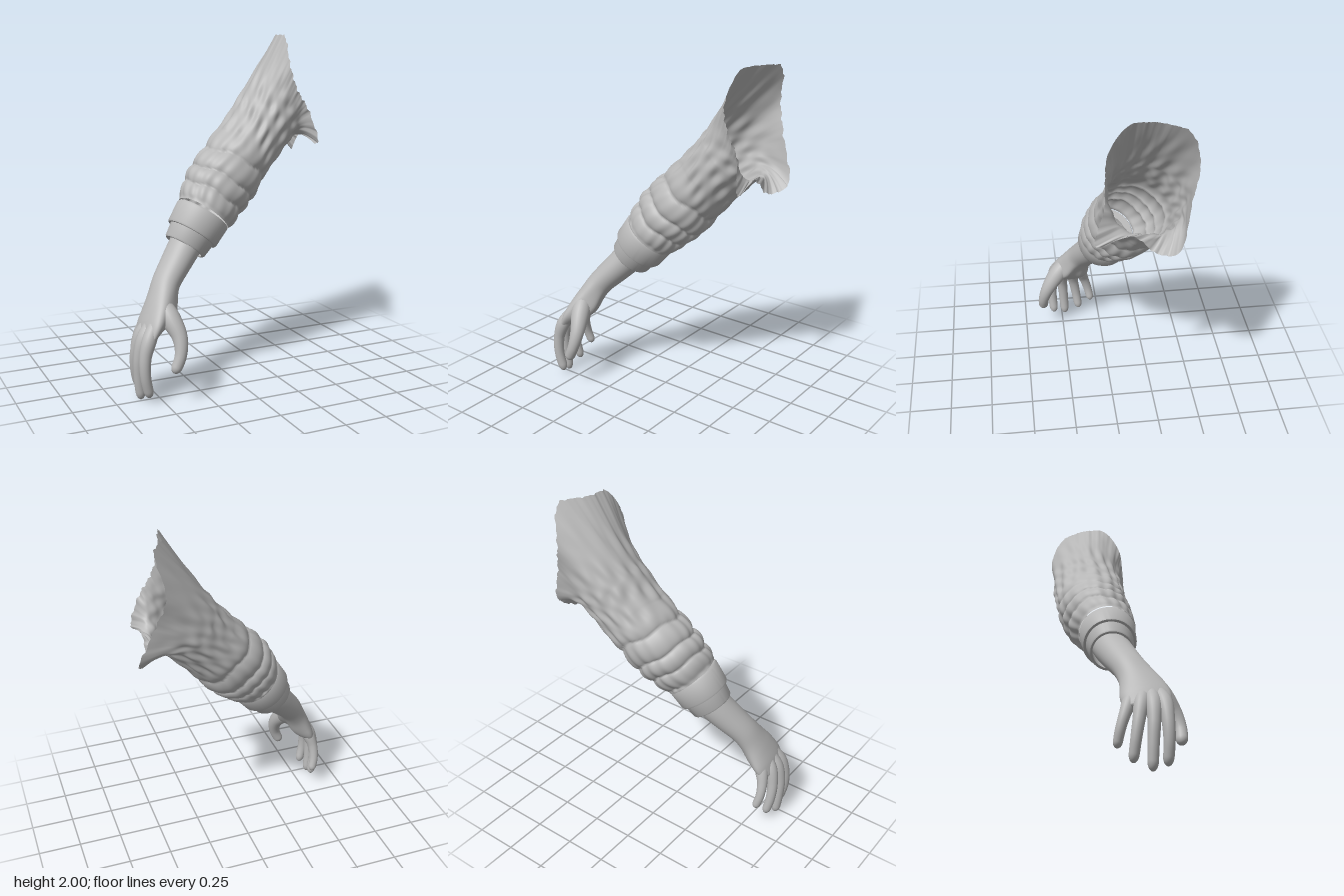
import * as THREE from 'three';
import { toCreasedNormals } from 'three/addons/utils/BufferGeometryUtils.js';

const V = (x, y, z) => new THREE.Vector3(x, y, z);
const TAU = Math.PI * 2;
const curve = (pts, closed = false) => new THREE.CatmullRomCurve3(pts.map(p => V(...p)), closed);

// Closed-around surface from point(u, angle), u running along the part
function skin(point, rows, sides) {
  const pos = [], idx = [];
  for (let i = 0; i <= rows; i++) {
    for (let j = 0; j < sides; j++) {
      pos.push(...point(i / rows, (j / sides) * TAU).toArray());
      if (i === rows) continue;
      const k = (j + 1) % sides, a = i * sides, b = a + sides;
      idx.push(a + j, a + k, b + j, a + k, b + k, b + j);
    }
  }
  const g = new THREE.BufferGeometry();
  g.setAttribute('position', new THREE.Float32BufferAttribute(pos, 3));
  g.setIndex(idx);
  g.computeVertexNormals();
  return g;
}

// Point on an oval ring: a across the bend plane, b along the z-leaning side
function ring(c, dir, a, b, t) {
  const d = dir.clone().normalize();
  const w = V(0, 0, 1).addScaledVector(d, -d.z).normalize();
  const n = w.clone().cross(d);
  return c.clone().addScaledVector(n, a * Math.cos(t)).addScaledVector(w, b * Math.sin(t));
}

// Tapered limb with a rounded end; rows [x, y, z, a, b], swell(u, angle) thickens a
function limb(rows, cap, sides, swell = () => 0) {
  const path = curve(rows.map(r => r.slice(0, 3)));
  const size = curve(rows.map(r => [r[3], r[4], 0]));
  return skin((k, t) => {
    const u = 1 - (1 - k) ** 2;
    const s = size.getPoint(u);
    const e = Math.max(0, (u - 1 + cap) / cap);
    const f = Math.sqrt(Math.max(0, 1 - e * e));
    return ring(path.getPoint(u), path.getTangent(u), (s.x + swell(u, t)) * f, s.y * f, t);
  }, 48, sides);
}

// Sleeve: oval sections up to the shoulder, then a ragged open rim
function sleeveGeometry() {
  const path = curve([[-0.115, 0.97, -0.01], [-0.035, 1.07, -0.052], [0.045, 1.155, -0.083],
    [0.155, 1.28, -0.115], [0.26, 1.395, -0.135], [0.335, 1.48, -0.15]]);
  const size = curve([[0.166, 0.164, 0], [0.196, 0.192, 0], [0.205, 0.203, 0],
    [0.195, 0.208, 0], [0.19, 0.21, 0], [0.197, 0.214, 0]]);
  const rim = curve([[0.45, 2, -0.19], [0.44, 1.99, -0.06], [0.42, 1.82, 0.05], [0.46, 1.68, 0.07],
    [0.525, 1.57, 0.08], [0.57, 1.37, 0.13], [0.555, 1.41, -0.06], [0.57, 1.3, -0.19],
    [0.635, 1.34, -0.29], [0.55, 1.6, -0.365], [0.5, 1.77, -0.405], [0.535, 1.985, -0.335]], true);
  const axis = V(0.65, 0.76, -0.2).normalize();
  const folds = (s, t) => {
    const low = 1 - THREE.MathUtils.smoothstep(s, 0.5, 0.75);
    const start = THREE.MathUtils.smoothstep(s, 0, 0.04);
    const wander = 0.12 * Math.sin(t + 0.5) + 0.18 * Math.sin(t * 2 + 1) * s + 0.07 * Math.sin(t * 5);
    const puff = Math.abs(Math.sin(Math.PI * (s * 5.6 + wander))) ** 0.6 - 0.72;
    const pleat = Math.sin(t * 17 + 1.5 * Math.sin(s * 8)) * (0.6 + 0.4 * Math.sin(t * 3));
    const knit = Math.sin(t * 15 + 1.3 * Math.sin(s * 5 + t * 2)) * (0.65 + 0.35 * Math.sin(s * 26 + t * 5));
    return start * (low * (0.021 * puff + 0.004 * pleat) + (1 - low) * 0.009 * knit);
  };
  return skin((u, t) => {
    const split = 0.68, s = Math.min(1, u / split);
    const r = size.getPoint(s), f = folds(u / split, t);
    const p = ring(path.getPoint(s), axis, r.x + f, r.y + f, t);
    if (u <= split) return p;
    const q = (u - split) / (1 - split);
    const end = rim.getPoint((t / TAU) % 1);
    end.addScaledVector(axis, 0.009 * Math.sin(t * 37) * Math.sin(t * 11));
    end.y = Math.min(end.y, 2);
    const mid = p.clone().addScaledVector(axis, 0.1);
    return p.multiplyScalar((1 - q) ** 2).addScaledVector(mid, 2 * q * (1 - q)).addScaledVector(end, q * q);
  }, 130, 160);
}

// Cuff band from a profile of [distance along, radius]
function band(profile) {
  const top = V(-0.115, 0.973, -0.01), dir = V(-0.132, -0.178, 0.03).normalize();
  const last = profile.length - 1;
  const g = skin((u, t) => {
    const [d, r] = profile[Math.round(u * last)];
    return ring(top.clone().addScaledVector(dir, d), dir, r, r * 0.96, t);
  }, last, 64);
  return toCreasedNormals(g, 0.7);
}

// Soft pads on the inner side of the palm, below the thumb and the little finger
function palmPads(u, t) {
  const bump = (x, centre, width) => Math.exp(-(((x - centre) / width) ** 2));
  const inner = Math.max(0, Math.cos(t)) ** 0.5, side = Math.sin(t);
  return inner * (0.062 * bump(u, 0.6, 0.15) * bump(side, 0.62, 0.45)
    + 0.035 * bump(u, 0.64, 0.16) * bump(side, -0.7, 0.45));
}

export function createModel() {
  const model = new THREE.Group();
  model.name = 'sleevedArm';
  const grey = new THREE.MeshStandardMaterial({ color: 0xb8b8b8, side: THREE.DoubleSide });
  grey.name = 'plain grey';
  const add = (name, geometry, parent = model) => {
    const mesh = new THREE.Mesh(geometry, grey);
    mesh.name = name;
    parent.add(mesh);
  };

  add('sleeve', sleeveGeometry());
  add('outerCuff', band([[0, 0.12], [0, 0.162], [0.012, 0.168], [0.128, 0.16], [0.138, 0.155], [0.138, 0.12]]));
  add('innerCuff', band([[0.1, 0.146], [0.215, 0.13], [0.223, 0.124], [0.223, 0.112], [0.14, 0.112]]));

  // Forearm flowing into the palm
  const hand = new THREE.Group();
  hand.name = 'hand';
  model.add(hand);
  add('forearmAndPalm', limb([
    [-0.18, 0.88, 0, 0.1, 0.108], [-0.25, 0.8, 0.03, 0.094, 0.104], [-0.33, 0.71, 0.075, 0.085, 0.098],
    [-0.405, 0.625, 0.12, 0.075, 0.092], [-0.45, 0.555, 0.155, 0.067, 0.1], [-0.492, 0.485, 0.183, 0.06, 0.12],
    [-0.53, 0.42, 0.2, 0.052, 0.132], [-0.56, 0.365, 0.21, 0.04, 0.124], [-0.577, 0.335, 0.214, 0.03, 0.11],
  ], 0.07, 64, palmPads), hand);

  // Digits: joints from base to tip as [x, y, z, radius]
  const digits = {
    thumb: [[-0.475, 0.57, 0.185, 0.035], [-0.442, 0.47, 0.275, 0.056], [-0.412, 0.37, 0.345, 0.043],
      [-0.42, 0.28, 0.376, 0.034], [-0.46, 0.183, 0.38, 0.03]],
    indexFinger: [[-0.525, 0.44, 0.265, 0.036], [-0.57, 0.365, 0.295, 0.041], [-0.6, 0.27, 0.308, 0.034],
      [-0.602, 0.16, 0.312, 0.03], [-0.575, 0.035, 0.303, 0.027]],
    middleFinger: [[-0.53, 0.44, 0.225, 0.036], [-0.58, 0.36, 0.238, 0.042], [-0.61, 0.26, 0.24, 0.034],
      [-0.613, 0.14, 0.234, 0.03], [-0.6, 0.003, 0.228, 0.027]],
    ringFinger: [[-0.525, 0.44, 0.19, 0.036], [-0.573, 0.37, 0.18, 0.041], [-0.603, 0.275, 0.166, 0.033],
      [-0.606, 0.17, 0.15, 0.029], [-0.585, 0.05, 0.133, 0.026]],
    littleFinger: [[-0.505, 0.455, 0.145, 0.034], [-0.545, 0.385, 0.12, 0.039], [-0.572, 0.31, 0.096, 0.031],
      [-0.576, 0.225, 0.072, 0.027], [-0.555, 0.135, 0.053, 0.024]],
  };
  for (const [name, joints] of Object.entries(digits)) {
    add(name, limb(joints.map(([x, y, z, r]) => [x, y, z, r, r]), 0.09, 24), hand);
  }
  return model;
}
